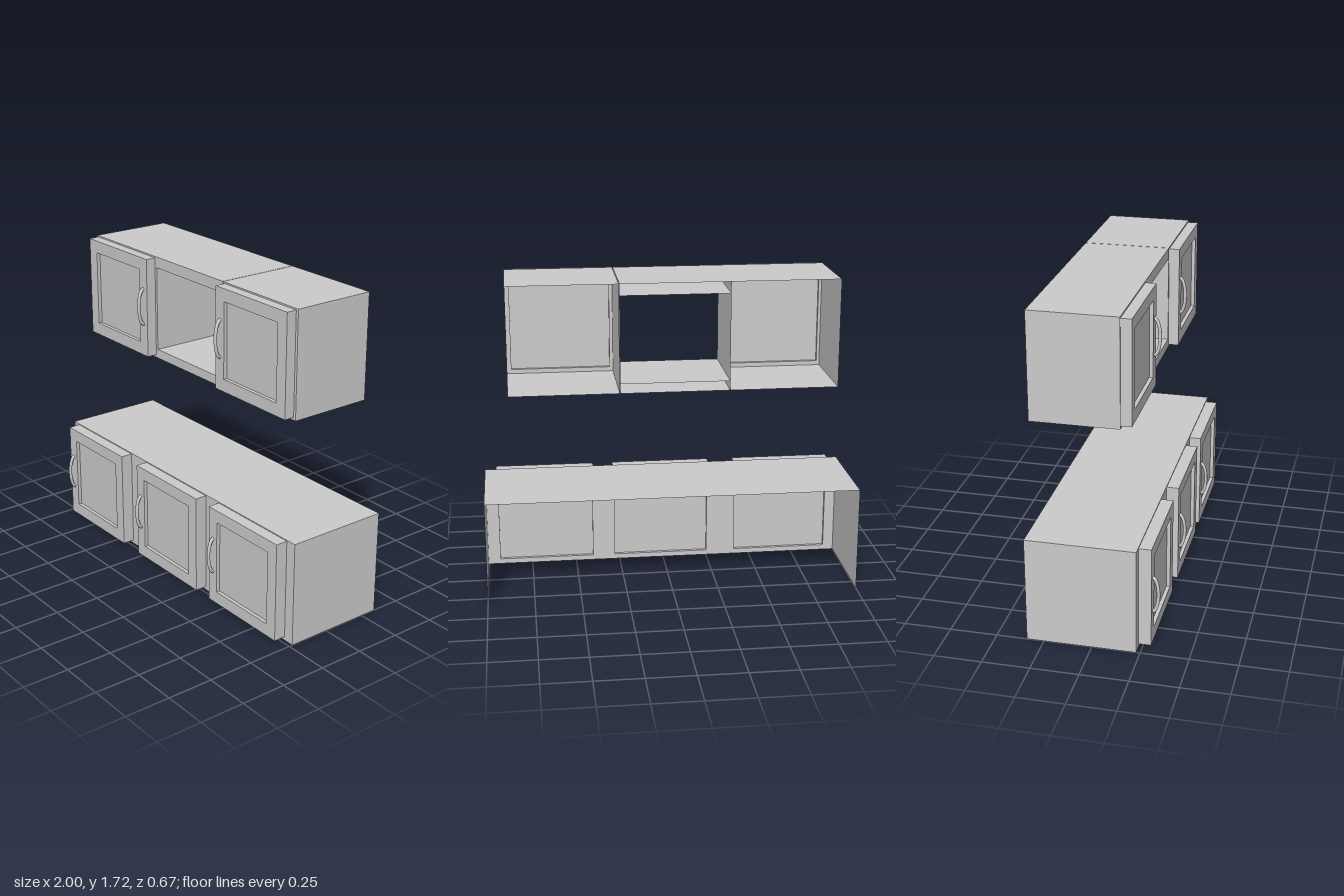
import * as THREE from 'three';

const material = new THREE.MeshStandardMaterial({ color: 0xcccccc, side: THREE.DoubleSide });
const BACK = -0.34;

function add(parent, name, geometry, x = 0, y = 0, z = 0) {
  const mesh = new THREE.Mesh(geometry, material);
  mesh.name = name;
  mesh.position.set(x, y, z);
  parent.add(mesh);
  return mesh;
}

// Rectangle [x0, y0, x1, y1] as a path
function rect(path, [x0, y0, x1, y1]) {
  path.moveTo(x0, y0);
  path.lineTo(x1, y0);
  path.lineTo(x1, y1);
  path.lineTo(x0, y1);
  path.closePath();
  return path;
}

function pierced(outer, holes) {
  const shape = rect(new THREE.Shape(), outer);
  holes.forEach((h) => shape.holes.push(rect(new THREE.Path(), h)));
  return shape;
}

const inset = ([x0, y0, x1, y1], d) => [x0 + d, y0 + d, x1 - d, y1 - d];

// Thin upright sheet (side wall) and thin level sheet (top, bottom, shelf)
function wall(parent, name, x, y0, y1, front) {
  const g = new THREE.PlaneGeometry(front - BACK, y1 - y0).rotateY(Math.PI / 2);
  add(parent, name, g, x, (y0 + y1) / 2, (front + BACK) / 2);
}

function sheet(parent, name, x0, x1, y, front) {
  const g = new THREE.PlaneGeometry(x1 - x0, front - BACK).rotateX(-Math.PI / 2);
  add(parent, name, g, (x0 + x1) / 2, y, (front + BACK) / 2);
}

// Bowed pull handle standing on the door face
function handle(parent, x, y0, y1, z) {
  const points = [];
  for (let i = 0; i <= 12; i++) {
    const a = (Math.PI * i) / 12;
    points.push(new THREE.Vector3(
      0,
      (y0 + y1) / 2 - Math.cos(a) * ((y1 - y0) / 2 - 0.008),
      Math.sin(a) * 0.032 - 0.003,
    ));
  }
  const g = new THREE.TubeGeometry(new THREE.CatmullRomCurve3(points), 32, 0.009, 10);
  add(parent, 'handle', g, x, 0, z);
}

// Door: raised frame, sunken panel, and a rim that meets the cabinet front
function door(parent, box, z, depth, handleX, handleY0, handleY1) {
  const group = new THREE.Group();
  group.name = 'door';
  parent.add(group);
  const back = 0.018;
  const panel = inset(box, 0.068);
  const extrude = (shape, d) => new THREE.ExtrudeGeometry(shape, { depth: d, bevelEnabled: false });
  add(group, 'doorFrame', extrude(pierced(box, [panel]), depth - back), 0, 0, z + back);
  add(group, 'doorRim', extrude(pierced(box, [inset(box, 0.008)]), back), 0, 0, z);
  add(group, 'doorPanel', extrude(pierced(panel, []), depth - back - 0.02), 0, 0, z + back);
  handle(group, handleX, handleY0, handleY1, z + depth);
}

// Cabinet shell with open back; the front sheet is cut out behind each door
function shell(parent, name, box, front, openings, hasBottom) {
  const group = new THREE.Group();
  group.name = name;
  parent.add(group);
  const [x0, y0, x1, y1] = box;
  wall(group, 'sideRight', x0, y0, y1, front);
  wall(group, 'sideLeft', x1, y0, y1, front);
  sheet(group, 'top', x0, x1, y1, front);
  if (hasBottom) sheet(group, 'bottom', x0, x1, y0, front);
  add(group, 'frontFrame', new THREE.ShapeGeometry(pierced(box, openings)), 0, 0, front);
  return group;
}

export function createModel() {
  const model = new THREE.Group();
  model.name = 'kitchenCabinets';

  // Base cabinet with three doors, open below and behind
  const baseFront = 0.23;
  const baseDoors = [-0.95, -0.26, 0.395].map((x) => [x, 0.02, x + 0.545, 0.565]);
  const base = shell(model, 'baseCabinet', [-1, 0, 1, 0.57], baseFront,
    baseDoors.map((d) => inset(d, 0.008)), false);
  baseDoors.forEach((d) => door(base, d, baseFront, 0.066, d[0] + 0.035, 0.19, 0.4));

  // Wall cabinets: a double unit with an open niche, and a single unit
  const wallFront = 0.12, low = 1.15, high = 1.72;
  const doorA = [-0.85, 1.165, -0.303, 1.712];
  const doorB = [0.295, 1.165, 0.842, 1.712];
  const niche = [-0.288, 1.2, 0.281, 1.66];

  const double = shell(model, 'wallCabinetWithNiche', [-0.857, low, 0.281, high], wallFront,
    [inset(doorA, 0.008), [niche[0], niche[1], niche[2] - 0.002, niche[3]]], true);
  wall(double, 'divider', niche[0], low, high, wallFront);
  sheet(double, 'nicheFloor', niche[0], niche[2], niche[1], wallFront);
  sheet(double, 'nicheCeiling', niche[0], niche[2], niche[3], wallFront);
  door(double, doorA, wallFront, 0.056, -0.34, 1.335, 1.55);

  const single = shell(model, 'wallCabinet', [0.285, low, 0.857, high], wallFront,
    [inset(doorB, 0.008)], true);
  door(single, doorB, wallFront, 0.056, 0.33, 1.335, 1.55);

  return model;
}
